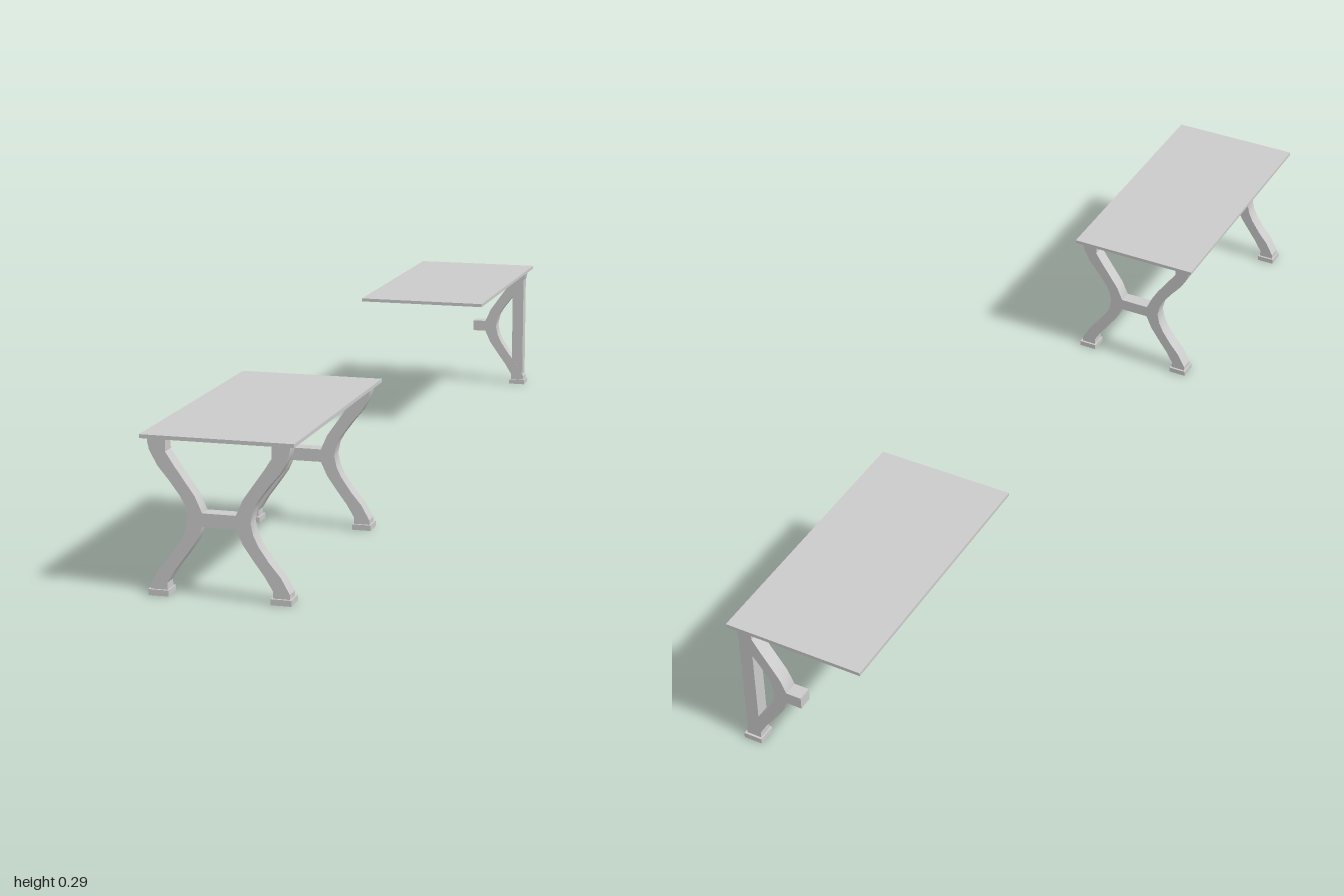
import * as THREE from 'three';
import { toCreasedNormals } from 'three/addons/utils/BufferGeometryUtils.js';

const material = new THREE.MeshStandardMaterial({ color: 0xcccccc });
const DEPTH = 0.029;

// Curved leg outlines on the +x side, as [x, y]
const OUTER = [
  [0.129, 0.01], [0.129, 0.02], [0.113, 0.049], [0.092, 0.074], [0.072, 0.103],
  [0.063, 0.122], [0.058, 0.144], [0.063, 0.169], [0.072, 0.185], [0.092, 0.212],
  [0.113, 0.237], [0.128, 0.265], [0.131, 0.278], [0.132, 0.288],
];
const INNER = [
  [0.098, 0.288], [0.098, 0.263], [0.083, 0.24], [0.063, 0.212], [0.044, 0.185],
  [0.031, 0.156], [0.031, 0.131], [0.044, 0.103], [0.063, 0.076], [0.083, 0.049],
  [0.098, 0.024], [0.098, 0.01],
];

function box(name, x0, x1, y0, y1, z0, z1) {
  const mesh = new THREE.Mesh(new THREE.BoxGeometry(x1 - x0, y1 - y0, z1 - z0), material);
  mesh.position.set((x0 + x1) / 2, (y0 + y1) / 2, (z0 + z1) / 2);
  mesh.name = name;
  return mesh;
}

// S-curved leg standing on a square foot; turned half round for the other side
function curvedLeg(name) {
  const leg = new THREE.Group();
  leg.name = name;
  const shape = new THREE.Shape([...OUTER, ...INNER].map(([x, y]) => new THREE.Vector2(x, y)));
  const geometry = new THREE.ExtrudeGeometry(shape, { depth: DEPTH, bevelEnabled: false });
  geometry.translate(0, 0, -DEPTH / 2);
  const curve = new THREE.Mesh(toCreasedNormals(geometry, 0.5), material);
  curve.name = 'legCurve';
  leg.add(curve, box('foot', 0.095, 0.133, 0, 0.011, -0.019, 0.019));
  return leg;
}

// Pair of curved legs joined by a crossbar
function trestle(name, z) {
  const group = new THREE.Group();
  group.name = name;
  const left = curvedLeg('leftLeg');
  const right = curvedLeg('rightLeg');
  right.rotation.y = Math.PI;
  group.add(left, right, box('crossbar', -0.032, 0.032, 0.131, 0.156, -DEPTH / 2, DEPTH / 2));
  group.position.z = z;
  return group;
}

// Single curved leg with a straight post and a crossbar stub
function halfTrestle(name, z) {
  const group = new THREE.Group();
  group.name = name;
  group.add(
    curvedLeg('leftLeg'),
    box('post', 0.1, 0.127, 0.01, 0.288, -DEPTH / 2 + 0.0005, DEPTH / 2 - 0.0005),
    box('crossbarStub', 0, 0.032, 0.131, 0.156, -DEPTH / 2, DEPTH / 2),
  );
  group.position.z = z;
  return group;
}

export function createModel() {
  const model = new THREE.Group();
  model.name = 'tables';

  // Complete table
  const frontTable = new THREE.Group();
  frontTable.name = 'frontTable';
  frontTable.add(
    box('tableTop', -0.142, 0.142, 0.287, 0.294, 0.43, 1),
    trestle('frontTrestle', 0.975),
    trestle('backTrestle', 0.46),
  );

  // Table top carried by a single corner support
  const backTable = new THREE.Group();
  backTable.name = 'backTable';
  backTable.add(
    box('tableTop', -0.142, 0.142, 0.287, 0.294, -1, -0.43),
    halfTrestle('cornerSupport', -0.972),
  );

  model.add(frontTable, backTable);
  return model;
}
